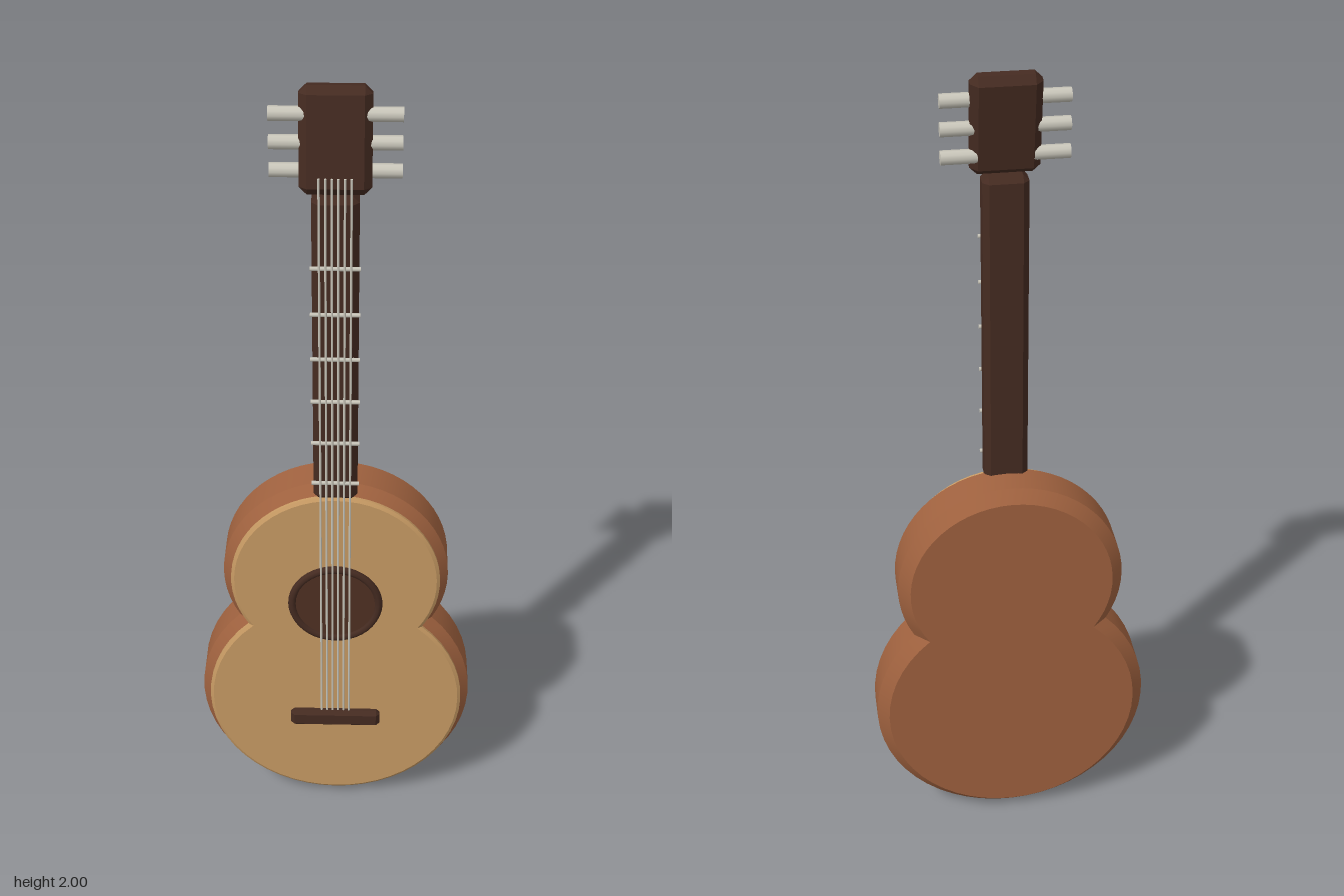
import * as THREE from 'three';
import { toCreasedNormals } from 'three/addons/utils/BufferGeometryUtils.js';
import { ConvexGeometry } from 'three/addons/geometries/ConvexGeometry.js';

const material = (name, color) => {
  const m = new THREE.MeshStandardMaterial({ color });
  m.name = name;
  return m;
};

// Figure-eight outline: two overlapping circles, pulled in by an inset
const LOW = { y: 0.345, r: 0.342 }, UP = { y: 0.724, r: 0.277 };
function outline(inset, n = 40) {
  const a = LOW.r - inset, b = UP.r - inset, d = UP.y - LOW.y;
  const h = (a * a - b * b + d * d) / (2 * d);
  const x = Math.sqrt(a * a - h * h);
  const low = Math.atan2(h, x), up = Math.atan2(h - d, x);
  const pts = [];
  const arc = (cy, r, from, to) => {
    for (let i = 0; i < n; i++) {
      const t = from + (to - from) * i / n;
      pts.push([r * Math.cos(t), cy + r * Math.sin(t)]);
    }
  };
  arc(UP.y, b, up, Math.PI - up);
  arc(LOW.y, a, Math.PI - low, 2 * Math.PI + low);
  return pts;
}

// Loft the outline through [z, inset] layers, back to front, and close both ends
function loftBody(layers) {
  const pos = [], idx = [];
  const rings = layers.map(([z, inset]) => outline(inset).map(([x, y]) => [x, y, z]));
  const n = rings[0].length;
  rings.flat().forEach(p => pos.push(...p));
  const back = pos.length / 3, front = back + 1;
  pos.push(0, 0.58, layers[0][0], 0, 0.58, layers[layers.length - 1][0]);
  const last = (rings.length - 1) * n;
  for (let i = 0; i < n; i++) {
    const j = (i + 1) % n;
    for (let k = 0; k < last; k += n) {
      idx.push(k + i, k + j, k + n + j, k + i, k + n + j, k + n + i);
    }
    idx.push(back, j, i, front, last + i, last + j);
  }
  const g = new THREE.BufferGeometry();
  g.setAttribute('position', new THREE.Float32BufferAttribute(pos, 3));
  g.setIndex(idx);
  return toCreasedNormals(g, 0.5);
}

// Box with every edge cut at 45 degrees
function chamferBox(w, h, d, c) {
  const pts = [];
  for (const x of [-w / 2, w / 2]) for (const y of [-h / 2, h / 2]) for (const z of [-d / 2, d / 2]) {
    const sx = c * Math.sign(x), sy = c * Math.sign(y), sz = c * Math.sign(z);
    pts.push(new THREE.Vector3(x, y - sy, z - sz),
      new THREE.Vector3(x - sx, y, z - sz),
      new THREE.Vector3(x - sx, y - sy, z));
  }
  return new ConvexGeometry(pts);
}

export function createModel() {
  const wood = material('red brown wood', 0xa0623f);
  const spruce = material('pale wood', 0xc89b64);
  const dark = material('dark wood', 0x452b21);
  const shade = material('sound hole brown', 0x4f3022);
  const metal = material('metal', 0xc9c6ba);

  const model = new THREE.Group();
  model.name = 'guitar';
  const add = (name, geometry, mat, x = 0, y = 0, z = 0, parent = model) => {
    const mesh = new THREE.Mesh(geometry, mat);
    mesh.name = name;
    mesh.position.set(x, y, z);
    parent.add(mesh);
    return mesh;
  };

  // Hollow body and its pale top board
  add('body', loftBody([[-0.09, 0.028], [-0.062, 0], [0.022, 0], [0.05, 0.028]]), wood);
  add('topBoard', loftBody([[0.046, 0.026], [0.05, 0.02], [0.057, 0.02], [0.062, 0.028]]), spruce);

  // Sound hole with its raised rim
  add('soundHole', new THREE.CylinderGeometry(0.106, 0.106, 0.006, 40).rotateX(Math.PI / 2), shade, 0, 0.66, 0.064);
  add('soundHoleRim', new THREE.TorusGeometry(0.107, 0.01, 8, 40), dark, 0, 0.66, 0.064);

  // Bridge, neck and tilted headstock
  add('bridge', chamferBox(0.23, 0.05, 0.028, 0.01), dark, 0, 0.29, 0.073);
  add('neck', chamferBox(0.104, 0.79, 0.064, 0.014), dark, 0, 1.37, 0.035);
  const head = add('headstock', chamferBox(0.156, 0.235, 0.052, 0.017), dark, 0, 1.883, 0.026);
  head.rotation.x = -0.14;

  // Frets across the neck
  const fret = new THREE.CylinderGeometry(0.005, 0.005, 0.112, 8).rotateZ(Math.PI / 2);
  [1.03, 1.143, 1.257, 1.37, 1.485, 1.6].forEach(y => add('fret', fret, metal, 0, y, 0.069));

  // Six strings from bridge to headstock
  const string = new THREE.CylinderGeometry(0.003, 0.003, 1.51, 6);
  for (let i = 0; i < 6; i++) add('string', string, metal, (i - 2.5) * 0.014, 1.06, 0.074);

  // Three tuning pegs on each side
  const peg = new THREE.CylinderGeometry(0.016, 0.016, 0.08, 10).rotateZ(Math.PI / 2);
  for (const side of [-1, 1]) {
    [1.812, 1.876, 1.94].forEach(y => add('tuningPeg', peg, metal, side * 0.102, y, 0.024));
  }
  return model;
}
